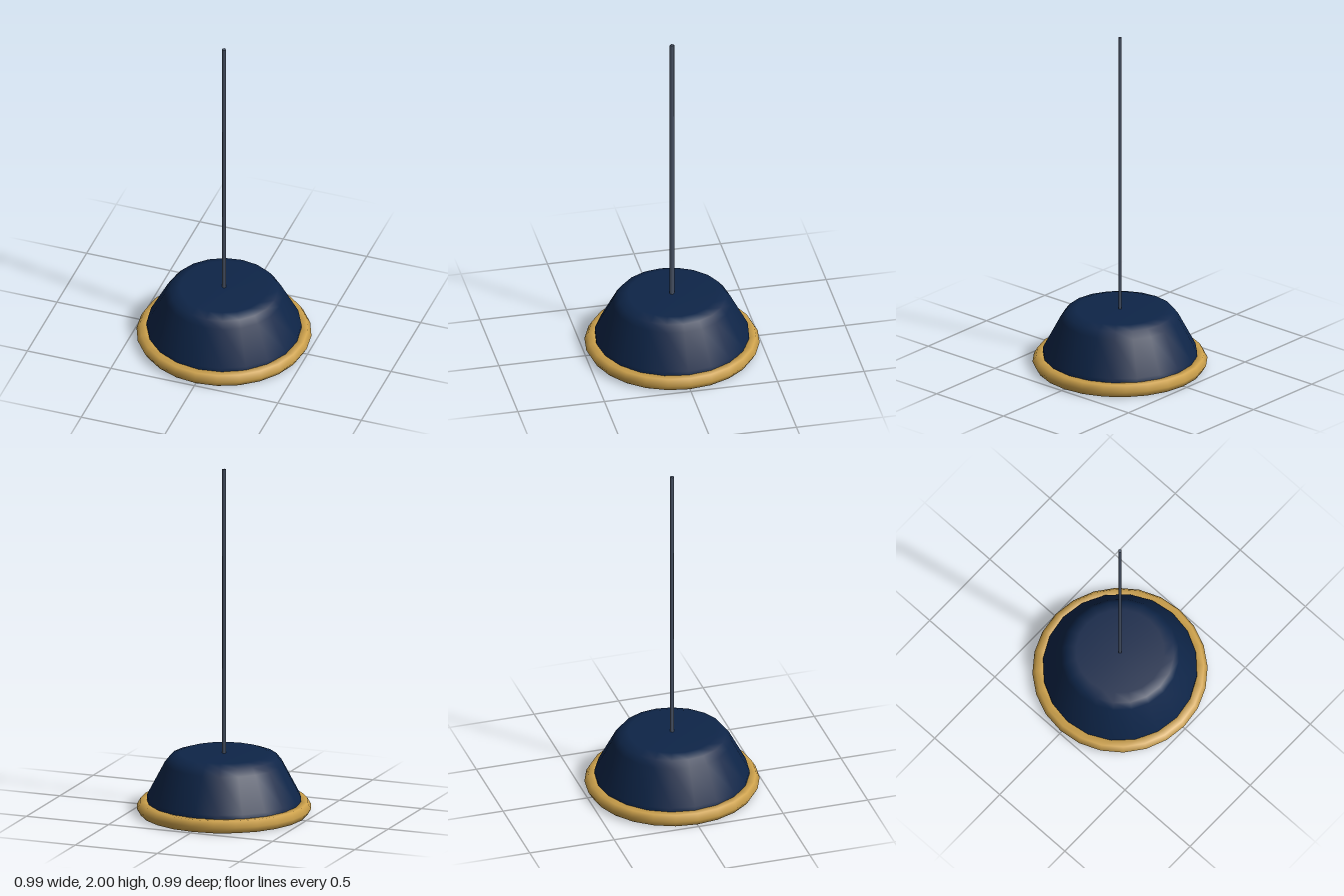
import * as THREE from 'three';

const material = (name, color) => {
  const m = new THREE.MeshStandardMaterial({ color });
  m.name = name;
  return m;
};

export function createModel() {
  const navy = material('navy enamel', 0x0e2548);
  const brass = material('brass', 0xcea24c);
  const grey = material('slate grey', 0x4a5568);
  const glass = material('frosted glass', 0x8aa9ad);

  const lamp = new THREE.Group();
  lamp.name = 'pendantLamp';
  const add = (name, geometry, mat, y = 0) => {
    const mesh = new THREE.Mesh(geometry, mat);
    mesh.name = name;
    mesh.position.y = y;
    lamp.add(mesh);
    return mesh;
  };

  // Shade: a turned dome with a flat top and a short straight skirt
  const profile = [
    [0.437, 0.045], [0.437, 0.095], [0.335, 0.29],
    [0.305, 0.328], [0.25, 0.347], [0, 0.347],
  ].map(([r, y]) => new THREE.Vector2(r, y));
  add('shade', new THREE.LatheGeometry(profile, 20), navy);

  // Rim: six-sided ring lying flat around the skirt
  const tube = 0.041;
  const rim = new THREE.TorusGeometry(0.495 - tube, tube, 6, 24);
  rim.rotateX(-Math.PI / 2);
  add('rim', rim, brass, tube * Math.sin(Math.PI / 3));

  // Diffuser closing the underside
  add('diffuser', new THREE.CylinderGeometry(0.428, 0.428, 0.02, 24), glass, 0.022);

  // Hanging rod, four-sided
  const bottom = 0.335;
  const rod = new THREE.CylinderGeometry(0.013, 0.013, 2 - bottom, 4);
  add('rod', rod, grey, (2 + bottom) / 2);

  return lamp;
}
